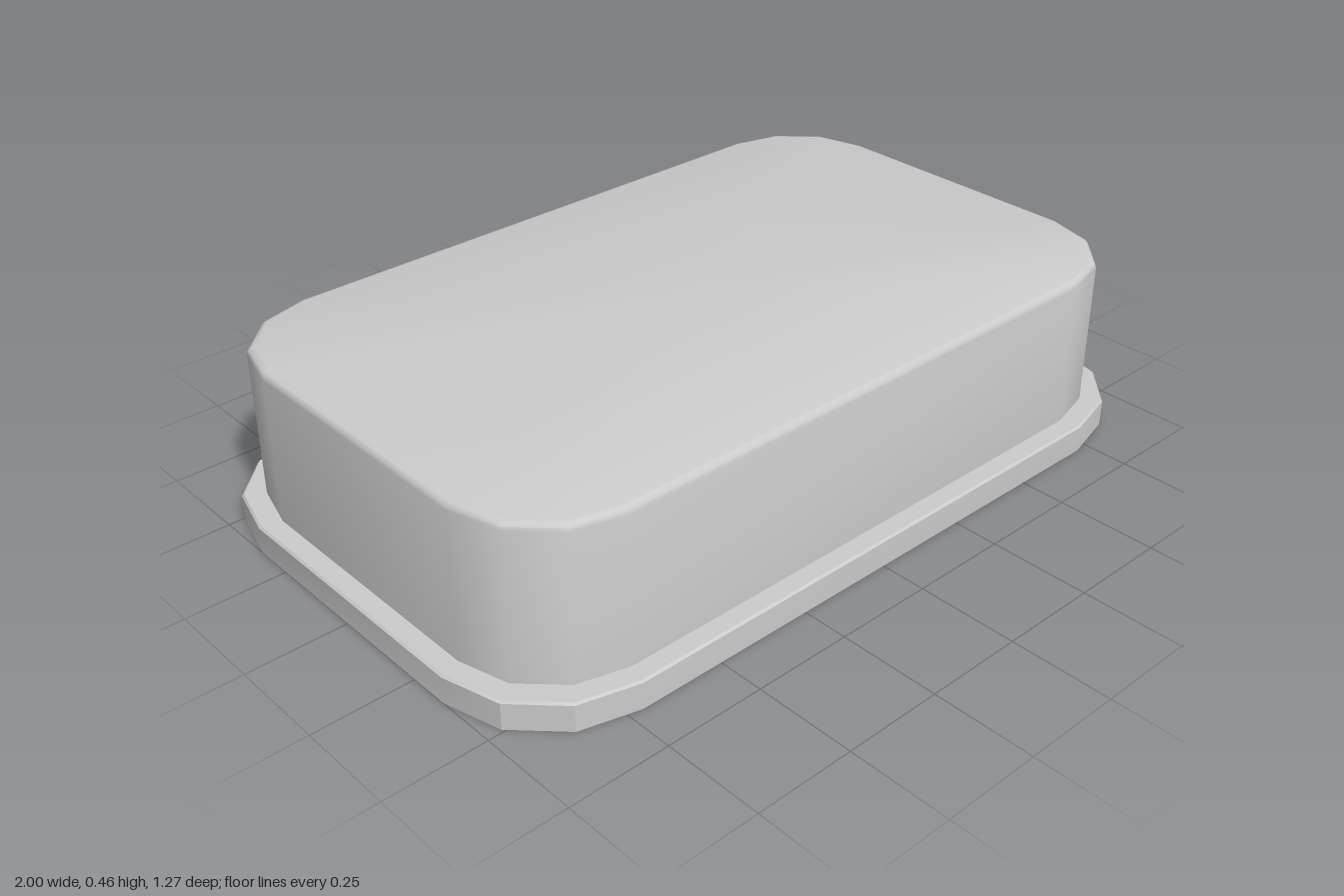
import * as THREE from 'three';
import { toCreasedNormals } from 'three/addons/utils/BufferGeometryUtils.js';

const STEPS = 3; // facets per rounded corner

// Rounded-rectangle loop, counter-clockwise seen from above
function loop([hx, hz, r, y]) {
  const points = [];
  for (let corner = 0; corner < 4; corner++) {
    const sx = corner === 0 || corner === 3 ? 1 : -1;
    const sz = corner < 2 ? -1 : 1;
    for (let i = 0; i <= STEPS; i++) {
      const a = (corner + i / STEPS) * Math.PI / 2;
      points.push([sx * (hx - r) + r * Math.cos(a), y, sz * (hz - r) - r * Math.sin(a)]);
    }
  }
  return points;
}

// Skins neighbouring loops; capped closes both ends, otherwise the profile is a closed ring
function loft(profile, capped, crease) {
  const loops = profile.map(loop);
  const n = loops[0].length;
  const pos = [];
  const tri = (...p) => p.forEach((v) => pos.push(...v));
  for (let i = 0; i < loops.length - 1; i++) {
    for (let k = 0; k < n; k++) {
      const j = (k + 1) % n;
      tri(loops[i][k], loops[i][j], loops[i + 1][j]);
      tri(loops[i][k], loops[i + 1][j], loops[i + 1][k]);
    }
  }
  if (capped) {
    const first = loops[0], last = loops[loops.length - 1];
    for (let k = 0; k < n; k++) {
      const j = (k + 1) % n;
      tri([0, first[0][1], 0], first[j], first[k]);
      tri([0, last[0][1], 0], last[k], last[j]);
    }
  }
  const g = new THREE.BufferGeometry();
  g.setAttribute('position', new THREE.Float32BufferAttribute(pos, 3));
  return toCreasedNormals(g, THREE.MathUtils.degToRad(crease));
}

export function createModel() {
  const group = new THREE.Group();
  group.name = 'lid';
  const material = new THREE.MeshStandardMaterial({ color: 0xcccccc, side: THREE.DoubleSide });
  const add = (name, geometry) => {
    const mesh = new THREE.Mesh(geometry, material);
    mesh.name = name;
    group.add(mesh);
  };

  // Hollow cover: ceiling, inner wall down, outer wall up, rounded top edge
  const inset = (d, y) => [0.948 - d, 0.585 - d, 0.25 - d, y];
  const cover = [inset(0.015, 0.443), inset(0.015, 0.07), inset(0, 0.07)];
  const bevel = 0.018, top = 0.455;
  for (let i = 0; i <= 3; i++) {
    const a = i / 3 * Math.PI / 2;
    cover.push(inset(bevel * (1 - Math.cos(a)), top - bevel * (1 - Math.sin(a))));
  }
  add('cover', loft(cover, true, 35));

  // Flange around the opening, with a thin skirt hanging from its ledge
  const flange = (d, y) => [1 - d, 0.635 - d, 0.285 - d, y];
  add('rim', loft([
    inset(0, 0.071), inset(0, 0.06),
    flange(0.012, 0.06), flange(0.012, 0),
    flange(0, 0), flange(0, 0.066), flange(0.005, 0.071),
    inset(0, 0.071),
  ], false, 28));

  return group;
}
